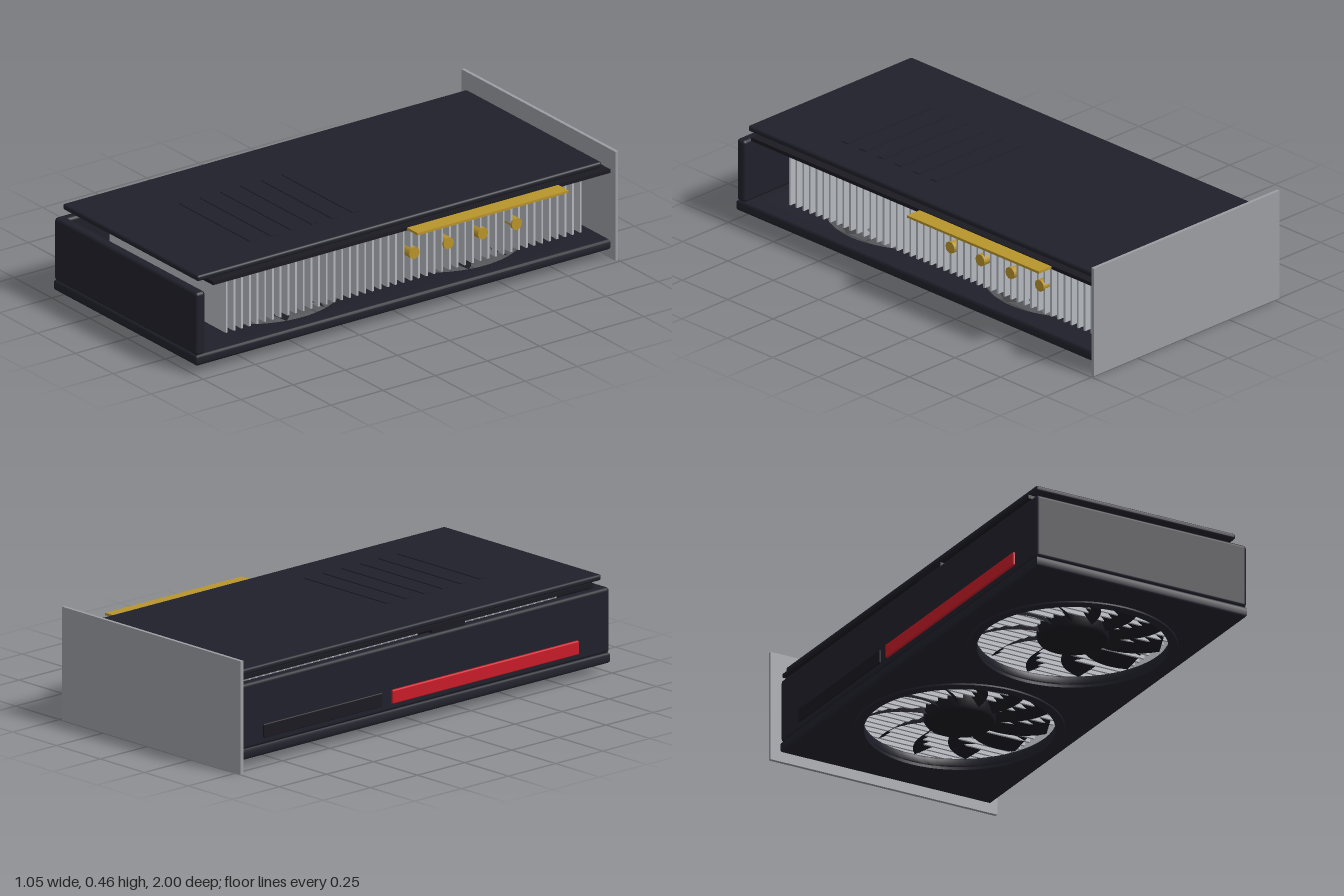
import * as THREE from 'three';
import { toCreasedNormals } from 'three/addons/utils/BufferGeometryUtils.js';
import { RoundedBoxGeometry } from 'three/addons/geometries/RoundedBoxGeometry.js';

const mat = (name, color, side = THREE.FrontSide) => {
  const m = new THREE.MeshStandardMaterial({ color, side });
  m.name = name;
  return m;
};

export function createModel() {
  const root = new THREE.Group();
  root.name = 'graphicsCard';
  const shroudMat = mat('darkShroud', 0x20202b);
  const fanMat = mat('fanBlack', 0x1a1a21, THREE.DoubleSide);
  const metal = mat('bracketGrey', 0x9a9da2);
  const finMat = mat('finSilver', 0xb4b8be);
  const gold = mat('gold', 0xb8942c);
  const red = mat('redAccent', 0xc81c28);

  const add = (name, geo, material, parent = root) => {
    const mesh = new THREE.Mesh(geo, material);
    mesh.name = name;
    parent.add(mesh);
    return mesh;
  };
  // Box given by its limits, with optional rounded edges
  const box = (name, material, [x0, x1], [y0, y1], [z0, z1], r = 0, parent = root) => {
    const s = [x1 - x0, y1 - y0, z1 - z0];
    const geo = r ? new RoundedBoxGeometry(...s, 3, r) : new THREE.BoxGeometry(...s);
    const mesh = add(name, geo, material, parent);
    mesh.position.set((x0 + x1) / 2, (y0 + y1) / 2, (z0 + z1) / 2);
    return mesh;
  };

  const fanZ = [-0.437, 0.437];

  // Fan-side plate with two round openings
  const b = 0.012;
  const plate = new THREE.Shape();
  plate.moveTo(-0.487 + b, -1 + b);
  plate.lineTo(0.456 - b, -1 + b);
  plate.lineTo(0.456 - b, 0.985 - b);
  plate.lineTo(-0.487 + b, 0.985 - b);
  plate.closePath();
  for (const z of fanZ) {
    const hole = new THREE.Path();
    hole.absarc(0, -z, 0.375 + b, 0, Math.PI * 2, true);
    plate.holes.push(hole);
  }
  const plateGeo = new THREE.ExtrudeGeometry(plate, {
    depth: 0.046 - 2 * b, bevelEnabled: true, bevelSize: b, bevelThickness: b, bevelSegments: 3, curveSegments: 48,
  });
  plateGeo.rotateX(-Math.PI / 2);
  plateGeo.translate(0, 0.037 + b, 0);
  add('fanPlate', toCreasedNormals(plateGeo, 0.6), shroudMat);

  // Shroud walls: closed front and left side, open right side
  box('frontWall', shroudMat, [-0.487, 0.456], [0.08, 0.345], [0.955, 1], 0.014);
  box('sideWall', shroudMat, [-0.487, -0.442], [0.08, 0.345], [-0.985, 1], 0.014);

  // Accent strips on the side wall
  box('redStrip', red, [-0.496, -0.48], [0.108, 0.165], [-0.16, 0.83], 0.006);
  box('darkStrip', fanMat, [-0.493, -0.48], [0.108, 0.165], [-0.84, -0.21], 0.005);

  // Cooling fins
  const fins = new THREE.Group();
  fins.name = 'coolingFins';
  root.add(fins);
  for (let i = 0; i < 47; i++) {
    const z = -0.905 + i * 0.0369;
    box('fin', finMat, [-0.4, 0.37], [0.1, 0.361], [z - 0.0045, z + 0.0045], 0, fins);
  }

  // Heat pipes through the fins
  for (const z of [-0.1, -0.265, -0.43, -0.592]) {
    const pipe = add('heatPipe', new THREE.CylinderGeometry(0.025, 0.025, 0.79, 10), gold);
    pipe.rotation.z = Math.PI / 2;
    pipe.position.set(-0.015, 0.217, z);
  }

  // Circuit board, edge contacts and power socket
  box('circuitBoard', fanMat, [-0.478, 0.456], [0.361, 0.376], [-0.985, 0.92]);
  box('edgeContacts', gold, [0.44, 0.525], [0.363, 0.373], [-0.735, -0.01]);
  box('powerSocket', fanMat, [-0.478, -0.39], [0.315, 0.375], [0.065, 0.24]);

  // Backplate with raised ribs
  box('backplate', shroudMat, [-0.472, 0.423], [0.375, 0.4], [-0.97, 0.97], 0.01);
  for (let i = 0; i < 6; i++) {
    const z = 0.1 + i * 0.098;
    box('backplateRib', shroudMat, [-0.2, 0.27], [0.396, 0.404], [z - 0.016, z + 0.016]);
  }

  // Mounting bracket
  box('bracket', metal, [-0.53, 0.487], [0, 0.46], [-1, -0.986]);

  // One swept, pitched blade: a plane bent around the hub
  const bladeGeo = new THREE.PlaneGeometry(1, 1, 8, 2);
  const p = bladeGeo.attributes.position;
  for (let i = 0; i < p.count; i++) {
    const u = p.getX(i) + 0.5, v = p.getY(i);
    const r = 0.12 + 0.24 * u;
    const a = v * (0.36 - 0.08 * u) + 0.3 * u * u;
    p.setXYZ(i, r * Math.cos(a), v * 0.06, r * Math.sin(a));
  }
  bladeGeo.computeVertexNormals();

  // Fans: trim ring, hub and blades
  const ringProfile = [[0.372, 0.042], [0.372, 0.03], [0.377, 0.026], [0.405, 0.026], [0.41, 0.03], [0.41, 0.042], [0.372, 0.042]]
    .map(([x, y]) => new THREE.Vector2(x, y));
  const hubProfile = [[0, 0.05], [0.115, 0.05], [0.132, 0.056], [0.14, 0.068], [0.14, 0.14], [0, 0.14]]
    .map(([x, y]) => new THREE.Vector2(x, y));
  for (const z of fanZ) {
    const fan = new THREE.Group();
    fan.name = 'fan';
    fan.position.z = z;
    root.add(fan);
    add('fanRing', toCreasedNormals(new THREE.LatheGeometry(ringProfile, 64), 0.5), shroudMat, fan);
    add('fanHub', toCreasedNormals(new THREE.LatheGeometry(hubProfile, 40), 0.7), fanMat, fan);
    for (let i = 0; i < 11; i++) {
      const blade = add('fanBlade', bladeGeo, fanMat, fan);
      blade.position.y = 0.1;
      blade.rotation.y = (i / 11) * Math.PI * 2;
    }
  }
  return root;
}
